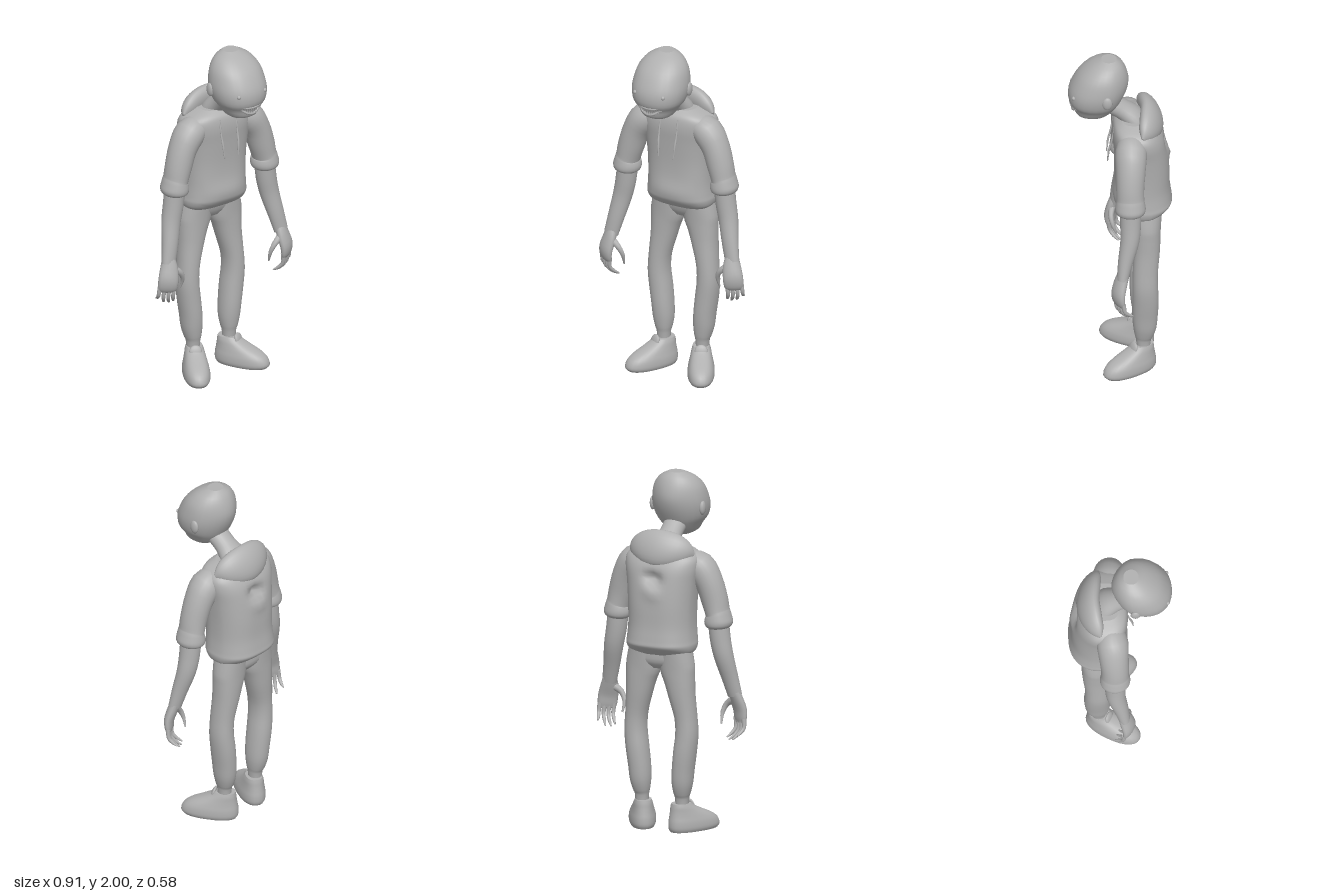
import * as THREE from 'three';

const skin = new THREE.MeshStandardMaterial({ color: 0xb0b0b0 });
skin.name = 'plain grey';

// Catmull-Rom subdivision of cross-section rows
function refine(rows, k) {
  const out = [];
  const at = (i) => rows[Math.max(0, Math.min(rows.length - 1, i))];
  for (let i = 0; i < rows.length - 1; i++) {
    for (let s = 0; s < k; s++) {
      const t = s / k, p = at(i - 1), q = at(i), r = at(i + 1), u = at(i + 2);
      out.push(q.map((_, c) => 0.5 * (2 * q[c] + (r[c] - p[c]) * t
        + (2 * p[c] - 5 * q[c] + 4 * r[c] - u[c]) * t * t
        + (3 * q[c] - p[c] - 3 * r[c] + u[c]) * t * t * t)));
    }
  }
  out.push(rows[rows.length - 1]);
  return out;
}

// Lofted body: rows are [x, y, z, radius along ref, radius across ref]
function loft(rows, { n = 24, k = 3, p = 2, up = false, ref = [0, 0, 1], deform = null } = {}) {
  const rings = refine(rows, k), pos = [], idx = [];
  const centre = (i) => new THREE.Vector3(...rings[Math.max(0, Math.min(rings.length - 1, i))]);
  const power = (v) => Math.sign(v) * Math.pow(Math.abs(v), 2 / p);
  rings.forEach((r, i) => {
    const T = up ? new THREE.Vector3(0, 1, 0) : centre(i + 1).sub(centre(i - 1)).normalize();
    const U = new THREE.Vector3(...ref);
    U.addScaledVector(T, -U.dot(T)).normalize();
    const V = new THREE.Vector3().crossVectors(T, U);
    for (let j = 0; j < n; j++) {
      const a = (j / n) * Math.PI * 2;
      const v = centre(i).addScaledVector(U, power(Math.cos(a)) * Math.max(r[3], 0.001))
        .addScaledVector(V, power(Math.sin(a)) * Math.max(r[4], 0.001));
      if (deform) deform(v);
      pos.push(v.x, v.y, v.z);
    }
  });
  for (let i = 0; i < rings.length - 1; i++) {
    for (let j = 0; j < n; j++) {
      const a = i * n + j, b = i * n + (j + 1) % n;
      idx.push(a, b, a + n, b, b + n, a + n);
    }
  }
  // End caps with their own vertices
  for (const end of [0, rings.length - 1]) {
    const start = pos.length / 3, c = new THREE.Vector3();
    for (let j = 0; j < n; j++) {
      const o = (end * n + j) * 3;
      pos.push(pos[o], pos[o + 1], pos[o + 2]);
      c.add(new THREE.Vector3(pos[o], pos[o + 1], pos[o + 2]));
    }
    c.divideScalar(n);
    pos.push(c.x, c.y, c.z);
    for (let j = 0; j < n; j++) {
      const a = start + j, b = start + (j + 1) % n;
      if (end === 0) idx.push(start + n, b, a); else idx.push(start + n, a, b);
    }
  }
  const g = new THREE.BufferGeometry();
  g.setAttribute('position', new THREE.Float32BufferAttribute(pos, 3));
  g.setIndex(idx);
  g.computeVertexNormals();
  return g;
}

// Rows [y, front z, back z, half width] to loft rows
const slices = (rows) => rows.map(([y, f, b, w]) => [0, y, (f + b) / 2, (f - b) / 2, w]);
const bump = (d) => Math.exp(-d * d);

export function createModel() {
  const model = new THREE.Group();
  const add = (name, geometry, parent = model) => {
    const m = new THREE.Mesh(geometry, skin);
    m.name = name;
    parent.add(m);
    return m;
  };

  // Hoodie body with front pocket bulge and a dent in the back
  add('hoodieBody', loft(slices([
    [1.01, -0.03, -0.215, 0.165], [1.03, 0, -0.245, 0.19], [1.065, 0.025, -0.283, 0.2],
    [1.1, 0.03, -0.282, 0.196], [1.18, 0.03, -0.273, 0.19], [1.3, 0.03, -0.27, 0.193],
    [1.42, 0.038, -0.258, 0.203], [1.5, 0.045, -0.242, 0.215], [1.555, 0.042, -0.215, 0.212],
    [1.59, 0.03, -0.185, 0.175], [1.615, 0, -0.16, 0.11],
  ]), {
    n: 48, k: 4, p: 2.7, up: true,
    deform: (v) => {
      if (v.z > 0) v.z += 0.014 * bump(v.x / 0.12) * bump((v.y - 1.12) / 0.06);
      if (v.z < -0.15) {
        v.z += 0.045 * bump(v.x / 0.05) * bump((v.y - 1.45) / 0.035);
        v.z -= 0.015 * bump(v.x / 0.05) * bump((v.y - 1.37) / 0.035);
        v.x *= 1 - 0.9 * Math.max(0, -v.z - 0.15);
      }
    },
  }));

  // Hood lying folded on the upper back
  add('hood', loft([
    [-0.19, 1.575, -0.105, 0.008, 0.015], [-0.15, 1.59, -0.13, 0.038, 0.06],
    [-0.085, 1.605, -0.16, 0.053, 0.09], [0, 1.61, -0.175, 0.056, 0.1],
    [0.085, 1.605, -0.16, 0.053, 0.09], [0.15, 1.59, -0.13, 0.038, 0.06],
    [0.19, 1.575, -0.105, 0.008, 0.015],
  ], { k: 4, deform: (v) => { v.z += (v.y - 1.61) * 0.3; } }));

  // Neck and head
  add('neck', loft([[0, 1.55, -0.1, 0.07, 0.095], [0, 1.61, -0.07, 0.06, 0.085],
    [0, 1.66, -0.01, 0.055, 0.065], [0, 1.71, 0.06, 0.055, 0.065], [0, 1.74, 0.1, 0.04, 0.05]]));
  add('head', loft(slices([
    [1.632, 0.19, 0.1, 0.045], [1.655, 0.245, 0.06, 0.085], [1.7, 0.262, 0.02, 0.115],
    [1.74, 0.286, -0.005, 0.143], [1.8, 0.288, -0.033, 0.157], [1.86, 0.265, -0.046, 0.154],
    [1.92, 0.225, -0.036, 0.138], [1.97, 0.165, -0.012, 0.1], [2, 0.105, 0.02, 0.045],
  ]), {
    n: 28, p: 2.2, up: true,
    deform: (v) => { if (v.z < 0.08) v.x *= 1 - 18 * (0.08 - v.z) ** 2; },
  }));

  // Grinning mouth with pointed teeth
  const faceZ = (x) => 0.141 + 0.121 * Math.pow(1 - Math.pow(Math.abs(x) / 0.115, 2.2), 1 / 2.2);
  const lip = (y, rise, push) => new THREE.TubeGeometry(new THREE.CatmullRomCurve3(
    [-0.08, -0.055, -0.028, 0, 0.028, 0.055, 0.08].map((x) =>
      new THREE.Vector3(x, y + rise * x * x, faceZ(x) + push))), 24, 0.007, 8);
  add('upperLip', lip(1.722, 2, 0.014));
  add('lowerLip', lip(1.682, 8, 0.004));
  for (let i = -5; i <= 5; i++) {
    const x = i * 0.0125;
    const upper = add('upperTooth', new THREE.ConeGeometry(0.006, 0.022, 6));
    upper.position.set(x, 1.71 + 2.5 * x * x, faceZ(x) + 0.014);
    upper.rotation.x = Math.PI;
    add('lowerTooth', new THREE.ConeGeometry(0.005, 0.018, 6))
      .position.set(x + 0.006, 1.694 + 6 * x * x, faceZ(x + 0.006) + 0.007);
  }

  for (const s of [1, -1]) {
    const side = new THREE.Group();
    side.name = s > 0 ? 'leftSide' : 'rightSide';
    model.add(side);
    const flip = (rows) => rows.map(([x, ...rest]) => [s * x, ...rest]);
    const limb = (name, rows, options) => add(name, loft(flip(rows), options), side);

    // Ear and eye
    const ear = add('ear', new THREE.SphereGeometry(1, 12, 10), side);
    ear.scale.set(0.016, 0.04, 0.028);
    ear.position.set(s * 0.152, 1.8, 0.08);
    const eye = add('eye', new THREE.SphereGeometry(0.012, 12, 8), side);
    eye.position.set(s * 0.088, 1.8, 0.262);

    // Drawstring
    limb('drawstring', [[0.055, 1.57, 0.035, 0.005, 0.005], [0.055, 1.48, 0.052, 0.005, 0.005],
      [0.052, 1.42, 0.066, 0.006, 0.007], [0.047, 1.345, 0.073, 0.003, 0.003]], { n: 8 });

    // Sleeve with rolled cuff
    limb('sleeve', [[0.12, 1.53, -0.06, 0.07, 0.06], [0.195, 1.5, -0.05, 0.088, 0.086],
      [0.25, 1.42, -0.045, 0.083, 0.078], [0.283, 1.32, -0.04, 0.078, 0.074],
      [0.3, 1.255, -0.04, 0.077, 0.068], [0.306, 1.235, -0.04, 0.08, 0.07],
      [0.308, 1.2, -0.04, 0.085, 0.079], [0.31, 1.175, -0.04, 0.08, 0.073],
      [0.311, 1.162, -0.04, 0.062, 0.058]]);
    limb('forearm', [[0.305, 1.22, -0.04, 0.06, 0.058], [0.318, 1.1, -0.04, 0.058, 0.058],
      [0.337, 1, -0.035, 0.053, 0.055], [0.362, 0.88, -0.01, 0.042, 0.048],
      [0.385, 0.775, 0.008, 0.032, 0.042]]);

    // Hand: palm, thumb and four curled fingers
    limb('palm', [[0.383, 0.8, 0.005, 0.03, 0.038], [0.39, 0.75, 0.02, 0.03, 0.05],
      [0.404, 0.69, 0.033, 0.028, 0.056], [0.408, 0.64, 0.03, 0.021, 0.054],
      [0.406, 0.615, 0.024, 0.01, 0.044]], { n: 16, ref: [s * 0.5, 0, 0.85] });
    limb('thumb', [[0.37, 0.745, 0.025, 0.02, 0.024], [0.325, 0.715, 0.035, 0.015, 0.017],
      [0.301, 0.665, 0.025, 0.011, 0.012], [0.304, 0.605, 0.005, 0.004, 0.005]], { n: 10 });
    for (let i = 0; i < 4; i++) {
      const k = -0.038 + i * 0.027, x = 0.405 + 0.85 * k, z = 0.026 - 0.5 * k;
      const len = [0.95, 1.05, 1, 0.72][i], curl = [0.03, 0.035, 0.03, 0.012][i];
      limb('finger', [[x, 0.645, z, 0.013, 0.014], [x + 0.004, 0.63 - 0.045 * len, z - 0.006, 0.011, 0.011],
        [x - curl * 0.4, 0.63 - 0.08 * len, z - 0.028, 0.009, 0.009],
        [x - curl, 0.63 - 0.1 * len, z - 0.053, 0.004, 0.004]], { n: 10 });
    }

    // Trouser leg gathered at the ankle
    limb('trouserLeg', [[0.09, 1.06, -0.14, 0.09, 0.088], [0.103, 0.94, -0.14, 0.08, 0.1],
      [0.116, 0.87, -0.14, 0.077, 0.088], [0.13, 0.78, -0.138, 0.074, 0.074],
      [0.15, 0.66, -0.131, 0.07, 0.061], [0.156, 0.56, -0.13, 0.071, 0.061],
      [0.146, 0.46, -0.132, 0.073, 0.062], [0.134, 0.36, -0.13, 0.071, 0.06],
      [0.128, 0.28, -0.129, 0.065, 0.057], [0.124, 0.22, -0.124, 0.052, 0.046],
      [0.123, 0.19, -0.122, 0.042, 0.038], [0.123, 0.12, -0.122, 0.036, 0.034]], { p: 2.2 });

    // Shoe, turned outward, with tongue
    const shoe = new THREE.Group();
    shoe.name = 'shoe';
    shoe.position.set(s * 0.157, 0, -0.045);
    shoe.rotation.y = s * 0.5;
    side.add(shoe);
    add('shoeBody', loft(slices([[0, 0.15, -0.15, 0.066], [0.02, 0.165, -0.16, 0.075],
      [0.055, 0.152, -0.16, 0.074], [0.085, 0.115, -0.155, 0.067], [0.115, 0.05, -0.15, 0.059],
      [0.14, 0, -0.147, 0.053], [0.16, -0.025, -0.143, 0.046]]), { n: 28, p: 2.3, up: true }), shoe);
    const tongue = add('tongue', new THREE.SphereGeometry(1, 14, 10), shoe);
    tongue.scale.set(0.036, 0.035, 0.012);
    tongue.position.set(0, 0.147, -0.022);
    tongue.rotation.x = -0.35;
  }

  // Seat of the trousers
  add('trouserSeat', loft(slices([[0.93, -0.09, -0.19, 0.06], [0.97, -0.065, -0.218, 0.15],
    [1.03, -0.05, -0.22, 0.175], [1.08, -0.05, -0.22, 0.175]]), { up: true, p: 2.4 }));

  return model;
}
